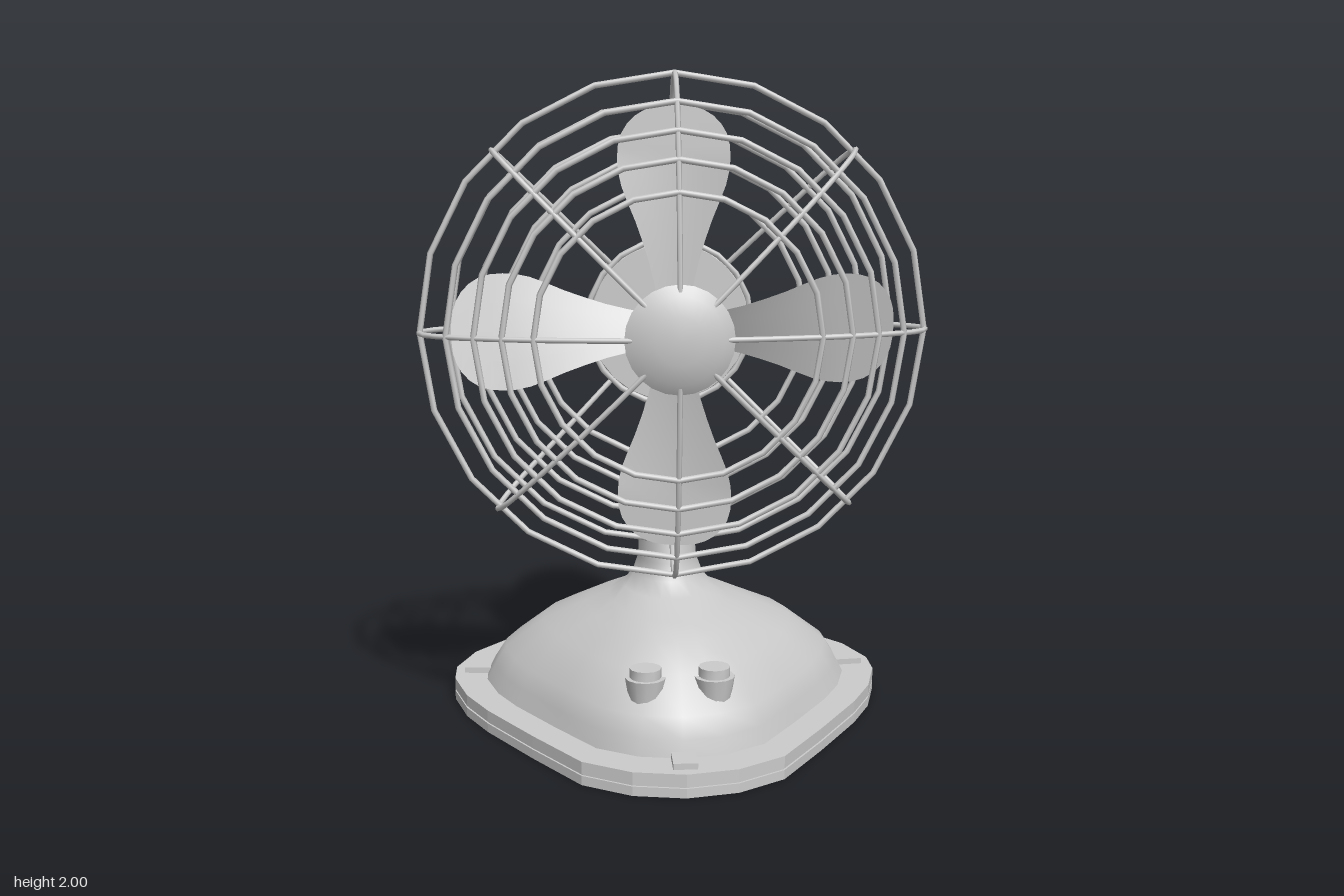
import * as THREE from 'three';
import { toCreasedNormals } from 'three/addons/utils/BufferGeometryUtils.js';

const AXIS_Y = 1.25; // height of the fan axis
const mat = new THREE.MeshStandardMaterial({ color: 0xcccccc });
const thinMat = new THREE.MeshStandardMaterial({ color: 0xcccccc, side: THREE.DoubleSide });

function add(parent, name, geometry, material = mat) {
  const mesh = new THREE.Mesh(geometry, material);
  mesh.name = name;
  parent.add(mesh);
  return mesh;
}

// Turned part along z, from [radius, z] pairs in rising z
function turned(profile, sides = 24, crease = 0.6) {
  const g = new THREE.LatheGeometry(profile.map(([r, z]) => new THREE.Vector2(r, z)), sides);
  return toCreasedNormals(g.rotateX(Math.PI / 2), crease);
}

// Right half of the foot outline [x, z], back to front, then mirrored
const half = [[0.2, -0.61], [0.41, -0.61], [0.51, -0.57], [0.63, -0.42], [0.685, -0.27], [0.685, -0.16],
  [0.64, 0], [0.57, 0.14], [0.43, 0.36], [0.29, 0.565], [0.15, 0.65]];
const outline = [[0, -0.61], ...half, [0, 0.678], ...half.map(([x, z]) => [-x, z]).reverse()];

function plate(scale, y, height) {
  const shape = new THREE.Shape(outline.map(([x, z]) => new THREE.Vector2(x * scale, -z * scale)));
  const g = new THREE.ExtrudeGeometry(shape, { depth: height, bevelEnabled: false });
  return g.rotateX(-Math.PI / 2).translate(0, y, 0);
}

// Dome and neck: levels of [y, half width, front z, back z, roundness]
function bodyGeometry() {
  const levels = [
    [0.06, 0.585, 0.565, -0.525, 0], [0.12, 0.555, 0.552, -0.515, 0], [0.18, 0.52, 0.53, -0.497, 0.05],
    [0.28, 0.4, 0.44, -0.42, 0.2], [0.34, 0.265, 0.345, -0.36, 0.45], [0.375, 0.19, 0.26, -0.31, 0.75],
    [0.4, 0.14, 0.1, -0.275, 1], [0.44, 0.11, 0.05, -0.24, 1], [0.49, 0.092, 0.02, -0.222, 1],
    [0.68, 0.083, -0.01, -0.23, 1], [0.85, 0.075, -0.028, -0.215, 1], [1.06, 0.065, -0.03, -0.18, 1]];
  const n = outline.length, pos = [], index = [];
  levels.forEach(([y, hx, zf, zb, round], i) => {
    outline.forEach(([ox, oz], j) => {
      const u = ox / 0.685, v = (oz - 0.034) / 0.644, len = Math.hypot(u, v);
      const k = 1 + (1 / len - 1) * round;
      pos.push(u * k * hx, y, (zf + zb) / 2 + v * k * (zf - zb) / 2);
      if (i + 1 < levels.length) {
        const a = i * n + j, b = i * n + (j + 1) % n;
        index.push(a, a + n, b + n, a, b + n, b);
      }
    });
  });
  const g = new THREE.BufferGeometry();
  g.setAttribute('position', new THREE.Float32BufferAttribute(pos, 3));
  g.setIndex(index);
  g.computeVertexNormals();
  return g;
}

// Thin pitched blade reaching out along +x
function bladeGeometry() {
  const edge = new THREE.SplineCurve([[0.09, 0.05], [0.2, 0.075], [0.32, 0.115], [0.42, 0.155], [0.5, 0.167],
    [0.57, 0.155], [0.62, 0.115], [0.645, 0.06], [0.65, 0]].map(p => new THREE.Vector2(...p)));
  const g = new THREE.PlaneGeometry(1, 1, 16, 4), p = g.attributes.position;
  for (let i = 0; i < p.count; i++) {
    const e = edge.getPoint(p.getX(i) + 0.5), s = p.getY(i) * 2;
    const pitch = 0.6 - 0.75 * Math.min(e.x, 0.5);
    p.setXYZ(i, e.x, e.y * s, e.y * s * Math.tan(pitch));
  }
  g.computeVertexNormals();
  return g;
}

export function createModel() {
  const model = new THREE.Group();
  model.name = 'deskFan';

  // Foot
  const base = new THREE.Group();
  base.name = 'base';
  model.add(base);
  add(base, 'lowerPlate', plate(1, 0, 0.028));
  add(base, 'plateSeam', plate(0.99, 0.028, 0.006));
  add(base, 'upperPlate', plate(1, 0.034, 0.036));
  add(base, 'domeAndNeck', bodyGeometry());
  for (const [x, z, turn] of [[0, 0.6, 0], [0.61, -0.24, 1.67], [-0.61, -0.24, -1.67]]) {
    const clip = add(base, 'clip', new THREE.BoxGeometry(0.07, 0.03, 0.085));
    clip.position.set(x, 0.073, z);
    clip.rotation.y = turn;
  }

  // Control knobs
  for (const side of [-1, 1]) {
    const knob = new THREE.Group();
    knob.name = 'knob';
    knob.position.set(side * 0.1, 0, 0.435);
    base.add(knob);
    const socket = toCreasedNormals(new THREE.CylinderGeometry(0.06, 0.045, 0.09, 12), 0.6);
    add(knob, 'knobSocket', socket).position.y = 0.225;
    const cap = toCreasedNormals(new THREE.CylinderGeometry(0.046, 0.046, 0.03, 12), 0.6);
    add(knob, 'knobCap', cap).position.y = 0.283;
  }

  // Head: everything centred on the fan axis
  const head = new THREE.Group();
  head.name = 'head';
  head.position.y = AXIS_Y;
  model.add(head);
  add(head, 'motorHousing', turned([[0, -0.42], [0.178, -0.42], [0.178, -0.407], [0.19, -0.4],
    [0.22, -0.22], [0.243, -0.07], [0.248, 0], [0.24, 0.015], [0, 0.015]]));
  add(head, 'tailCone', turned([[0, -0.68], [0.035, -0.672], [0.068, -0.645], [0.115, -0.585],
    [0.157, -0.515], [0.18, -0.45], [0.188, -0.415], [0, -0.415]], 24, 0.9));
  add(head, 'shaft', turned([[0.024, 0], [0.024, 0.2]], 12));

  // Propeller
  const propeller = new THREE.Group();
  propeller.name = 'propeller';
  propeller.position.z = 0.205;
  head.add(propeller);
  add(propeller, 'hub', turned([[0, -0.015], [0.125, -0.01], [0.13, 0], [0.1, 0.03], [0.055, 0.052], [0, 0.06]]));
  const blade = bladeGeometry();
  for (let i = 0; i < 4; i++) add(propeller, 'blade', blade, thinMat).rotation.z = i * Math.PI / 2;

  // Wire guard
  const guard = new THREE.Group();
  guard.name = 'guard';
  head.add(guard);
  const rings = [[0.74, 0.21], [0.66, 0.31], [0.58, 0.345], [0.5, 0.37], [0.41, 0.392],
    [0.66, 0.12], [0.58, 0.092], [0.5, 0.07], [0.41, 0.046], [0.25, 0.01]];
  for (const [r, z] of rings) {
    add(guard, 'guardRing', new THREE.TorusGeometry(r, 0.009, 6, 20)).position.z = z;
  }
  const spokePath = new THREE.CatmullRomCurve3([[0.24, 0], [0.41, 0.046], [0.58, 0.092], [0.67, 0.125],
    [0.725, 0.17], [0.742, 0.21], [0.725, 0.262], [0.66, 0.31], [0.5, 0.37], [0.3, 0.41], [0.13, 0.43]]
    .map(([r, z]) => new THREE.Vector3(r, 0, z)));
  const spoke = new THREE.TubeGeometry(spokePath, 28, 0.008, 6);
  for (let i = 0; i < 8; i++) add(guard, 'guardSpoke', spoke).rotation.z = i * Math.PI / 4;
  add(guard, 'guardCap', turned([[0, 0.415], [0.15, 0.415], [0.157, 0.424], [0.125, 0.443],
    [0.07, 0.458], [0, 0.463]]));

  return model;
}
